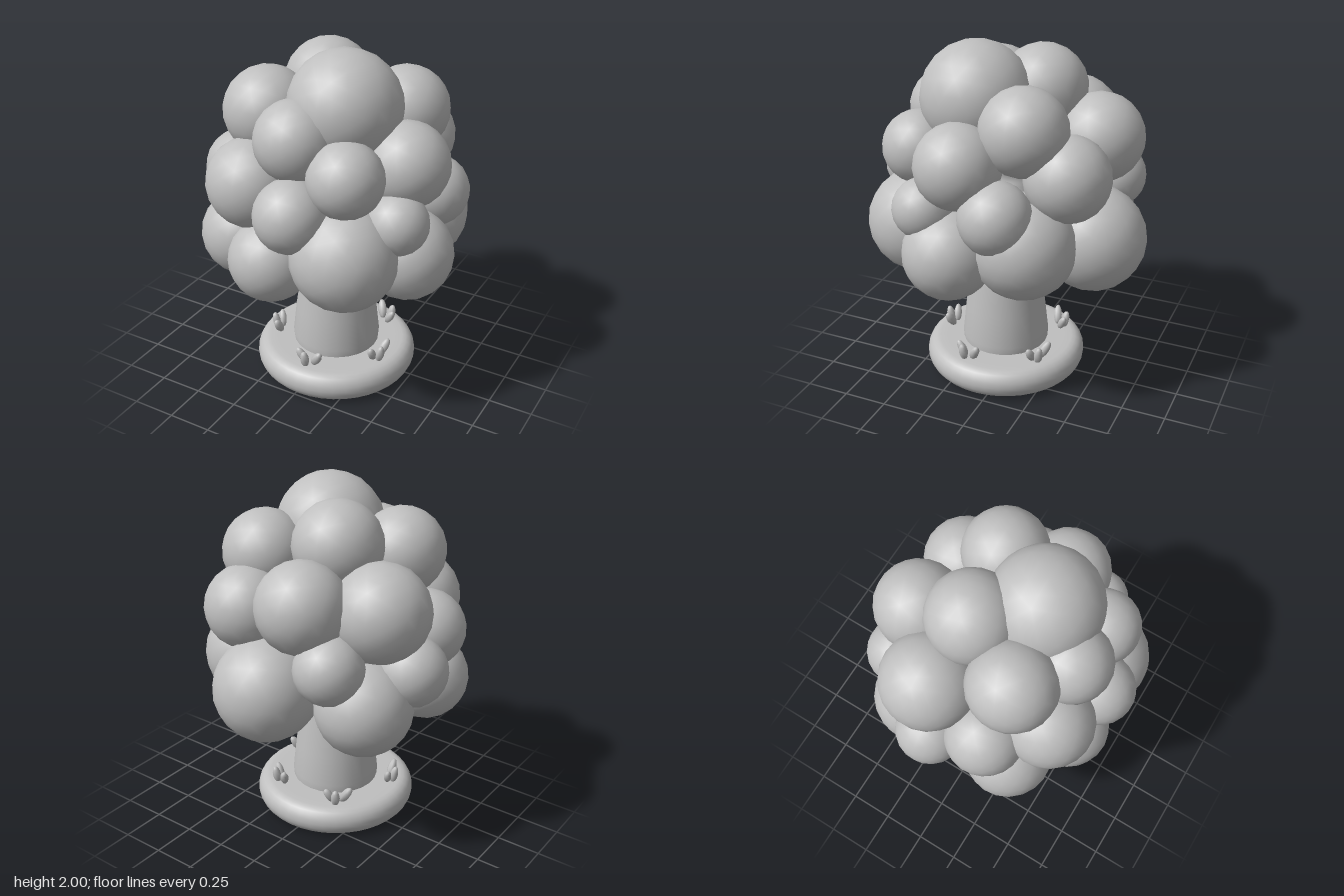
import * as THREE from 'three';

const clay = new THREE.MeshStandardMaterial({ color: 0xbfbfbf });
clay.name = 'clayGrey';

// x, y, z, radius of each foliage puff
const PUFFS = [
  // crown
  [0.145, 1.69, 0.17, 0.31], [-0.11, 1.7, -0.11, 0.25], [-0.29, 1.615, 0.235, 0.245], [0.33, 1.6, -0.18, 0.24],
  // upper ring
  [-0.01, 1.56, 0.42, 0.22], [0.3, 1.42, 0.445, 0.205], [0.485, 1.42, 0.125, 0.235],
  [0.28, 1.36, -0.405, 0.235], [-0.12, 1.46, -0.44, 0.25], [-0.435, 1.42, -0.18, 0.27],
  // middle ring
  [-0.265, 1.28, 0.45, 0.25], [0.055, 1.215, 0.58, 0.2], [0.53, 1.17, 0.31, 0.17], [0.54, 1.19, -0.11, 0.2],
  [-0.31, 1.17, -0.465, 0.19], [-0.585, 1.1, -0.1, 0.195], [-0.49, 1.22, 0.19, 0.22],
  // lower ring
  [0.3, 0.985, 0.455, 0.295], [-0.12, 0.88, 0.51, 0.235], [-0.43, 0.87, 0.3, 0.25], [-0.41, 0.915, -0.29, 0.27],
  [0.09, 0.955, -0.49, 0.295], [0.4, 0.99, -0.21, 0.29], [0.525, 0.93, 0.17, 0.255],
];

function add(parent, geometry, name) {
  const mesh = new THREE.Mesh(geometry, clay);
  mesh.name = name;
  parent.add(mesh);
  return mesh;
}

function lathe(points, segments) {
  return new THREE.LatheGeometry(points.map(([r, y]) => new THREE.Vector2(r, y)), segments);
}

export function createModel() {
  const tree = new THREE.Group();
  tree.name = 'tree';

  // Rounded ground disc, trunk and grass share one axis
  const stand = new THREE.Group();
  stand.name = 'stand';
  stand.position.set(0.03, 0, 0.06);
  tree.add(stand);

  const rim = [];
  for (let i = 0; i <= 10; i++) {
    const a = -Math.PI / 2 + (Math.PI * i) / 10;
    rim.push([0.395 + 0.075 * Math.cos(a), 0.09 + 0.085 * Math.sin(a)]);
  }
  add(stand, lathe([[0, 0.003], [0.36, 0.003], ...rim, [0.35, 0.176], [0, 0.176]], 40), 'groundDisc');

  // Tapered trunk reaching into the foliage
  add(stand, lathe([[0.25, 0.16], [0.255, 0.22], [0.235, 0.4], [0.205, 0.6], [0.18, 0.8], [0.16, 1.15], [0, 1.15]], 24), 'trunk');

  // Five grass tufts around the trunk, three leaves each
  const leaf = new THREE.SphereGeometry(1, 8, 8);
  for (let i = 0; i < 5; i++) {
    const tuft = new THREE.Group();
    tuft.name = 'grassTuft';
    const a = (i * 2 * Math.PI) / 5;
    tuft.position.set(0.34 * Math.sin(a), 0.215, 0.34 * Math.cos(a));
    tuft.rotation.y = a;
    // side offset, height, outward offset, sideways tilt, size
    for (const [x, y, z, tilt, s] of [[-0.035, 0, 0, 0.5, 0.95], [0, 0, 0.03, 0, 1], [0.06, 0.005, 0, -0.55, 1.05]]) {
      const blade = add(tuft, leaf, 'grassLeaf');
      blade.position.set(x, y, z);
      blade.rotation.set(0.2, 0, tilt);
      blade.scale.set(0.026 * s, 0.056 * s, 0.024 * s);
    }
    stand.add(tuft);
  }

  // Foliage of overlapping balls
  const foliage = new THREE.Group();
  foliage.name = 'foliage';
  const ball = new THREE.IcosahedronGeometry(1, 3);
  PUFFS.forEach(([x, y, z, r], i) => {
    const puff = add(foliage, ball, 'foliagePuff');
    puff.position.set(x, y, z);
    puff.rotation.y = i * 0.7;
    puff.scale.setScalar(r);
  });
  tree.add(foliage);

  return tree;
}
